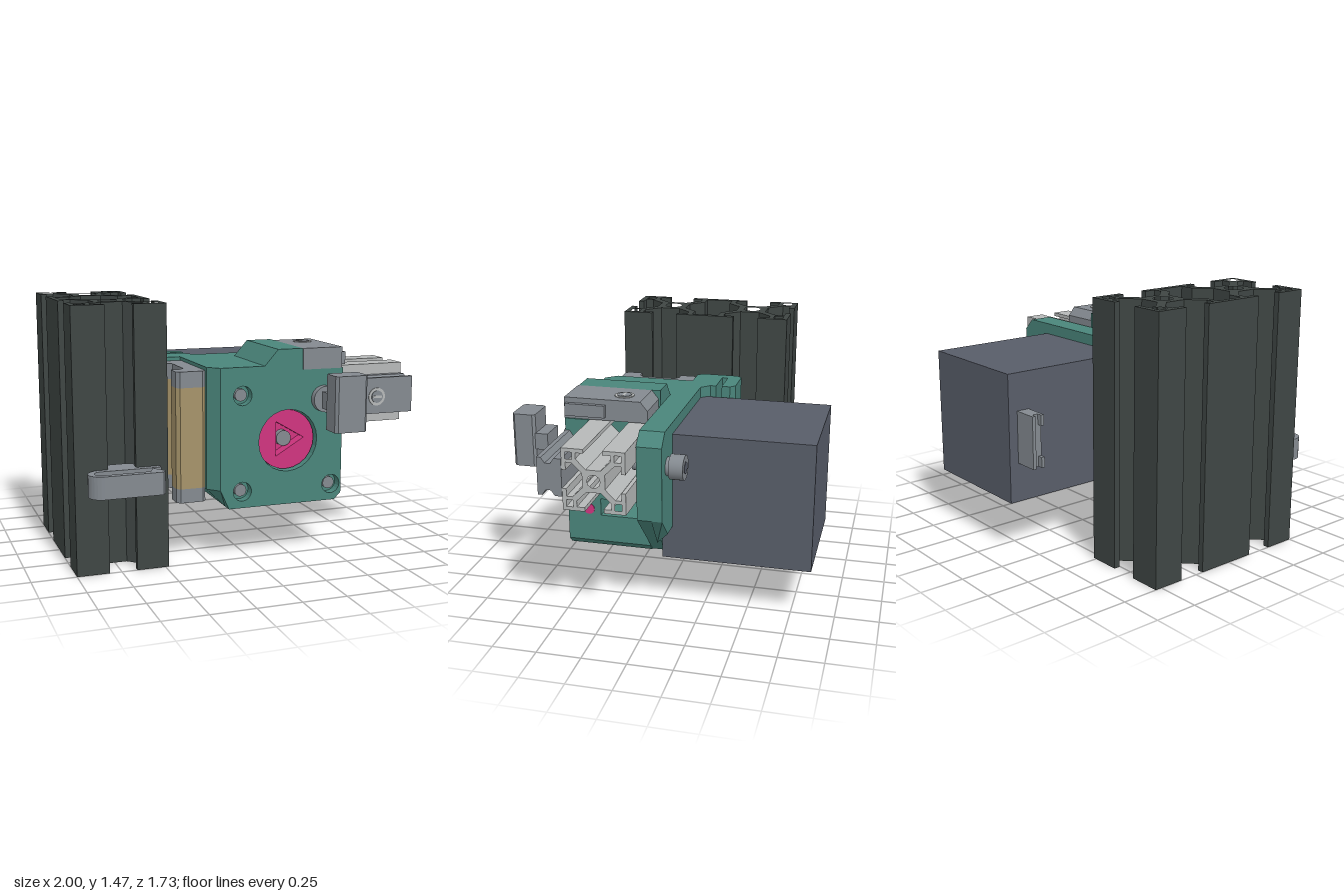
import * as THREE from 'three';

const mat = (name, color, side = THREE.FrontSide) => {
  const m = new THREE.MeshStandardMaterial({ color, side });
  m.name = name;
  return m;
};

export function createModel() {
  const root = new THREE.Group();
  const teal = mat('teal plastic', 0x4a857b), dark = mat('dark aluminium', 0x3f4644);
  const grey = mat('grey steel', 0x848a90), light = mat('light aluminium', 0xb6b9b9);
  const slate = mat('slate motor', 0x585d69), pink = mat('pink plastic', 0xd0347f);
  const gold = mat('gold brass', 0xc8981f), tan = mat('tan carriage', 0xa6946a);

  const add = (name, geo, m) => {
    const mesh = new THREE.Mesh(geo, m);
    mesh.name = name;
    root.add(mesh);
    return mesh;
  };
  const box = (name, m, x0, x1, y0, y1, z0, z1) =>
    add(name, new THREE.BoxGeometry(x1 - x0, y1 - y0, z1 - z0)
      .translate((x0 + x1) / 2, (y0 + y1) / 2, (z0 + z1) / 2), m);
  const circle = (cx, cy, r, n = 28) => Array.from({ length: n }, (_, i) =>
    [cx + r * Math.cos(i * 2 * Math.PI / n), cy + r * Math.sin(i * 2 * Math.PI / n)]);
  const arc = (cx, cy, r, a0, a1, n = 12) => Array.from({ length: n + 1 }, (_, i) => {
    const a = (a0 + (a1 - a0) * i / n) * Math.PI / 180;
    return [cx + r * Math.cos(a), cy + r * Math.sin(a)];
  });
  // Extrude an outline from a to b along z, x or y (outlines in xy, zy or xz)
  const extrude = (axis, pts, a, b, holes = []) => {
    const map = ([u, v]) => axis === 'x' ? new THREE.Vector2(-u, v)
      : axis === 'y' ? new THREE.Vector2(u, -v) : new THREE.Vector2(u, v);
    const shape = new THREE.Shape(pts.map(map));
    shape.holes = holes.map(h => new THREE.Path(h.map(map)));
    const geo = new THREE.ExtrudeGeometry(shape, { depth: b - a, bevelEnabled: false });
    geo.translate(0, 0, a);
    if (axis === 'x') geo.rotateY(Math.PI / 2);
    if (axis === 'y') geo.rotateX(-Math.PI / 2);
    return geo;
  };
  // Cylinder between two z values
  const rod = (name, m, x, y, r, z0, z1, n = 28) =>
    add(name, new THREE.CylinderGeometry(r, r, z1 - z0, n).rotateX(Math.PI / 2)
      .translate(x, y, (z0 + z1) / 2), m);

  // Slotted rail section: one or two square cells of half width h, centred on (cu, cv)
  const slot = [[-.3, 1], [-.3, .87], [-.55, .87], [-.55, .68], [-.23, .36],
    [.23, .36], [.55, .68], [.55, .87], [.3, .87], [.3, 1]];
  const railSection = (h, cells, cu, cv) => {
    const off = cells - 1;
    const place = ([u, v]) => [cu + u * h, cv + v * h];
    const sides = off ? [[-90, -1], [0, -1], [0, 1], [90, 1], [180, 1], [180, -1]]
      : [[-90, 0], [0, 0], [90, 0], [180, 0]];
    const outline = [], holes = [];
    sides.forEach(([deg, oy], i) => {
      const c = Math.round(Math.cos(deg * Math.PI / 180)), s = Math.round(Math.sin(deg * Math.PI / 180));
      const put = (u, v) => outline.push(place([c * v - s * u, s * v + c * u + oy]));
      slot.forEach(([u, v]) => put(u, v));
      if (sides[(i + 1) % sides.length][0] !== deg) put(1, 1);
    });
    for (const oy of off ? [-1, 1] : [0]) {
      holes.push(circle(0, oy, .21, 10).map(place));
      for (const sx of [-1, 1]) for (const sy of [-1, 1]) {
        if (off && sy !== oy) continue;
        holes.push([[.66, .66], [.88, .66], [.88, .88], [.66, .88]]
          .map(([u, v]) => place([sx * u, oy + sy * v])));
      }
    }
    if (off) holes.push([[.87, -.32], [.55, -.32], [.23, -.64], [-.23, -.64], [-.55, -.32], [-.87, -.32],
      [-.87, .32], [-.55, .32], [-.23, .64], [.23, .64], [.55, .32], [.87, .32]].map(place));
    return [outline, holes];
  };

  // Upright double rail and the small cross rail
  const [upO, upH] = railSection(.26, 2, -.74, -.02);
  add('uprightRail', extrude('y', upO, 0, 1.47, upH), dark);
  const [crO, crH] = railSection(.173, 1, .235, .9);
  add('crossRail', extrude('x', crO, .4, 1, crH), light);

  // Linear guide on the front of the cross rail
  const half = [[.41, .105], [.45, .105], [.47, .075], [.5, .075], [.52, .105], [.545, .105]];
  add('guideRail', extrude('x', [...half.map(([z, y]) => [z, .905 + y]),
    ...half.slice().reverse().map(([z, y]) => [z, .905 - y])], .5, 1), grey);
  rod('guideScrew', light, .77, .9, .052, .54, .55);
  rod('guideScrewSocket', grey, .77, .9, .036, .545, .554);
  box('guideScrewSlot', light, .74, .8, .893, .907, .55, .557);

  // Housing: layers from back to front, hollowed for the gear and cross rail
  const left = [[.3, 1.08], [.3, 1.2], [.15, 1.2], [.07, 1.11], [-.25, 1.11], [-.25, .42], [-.14, .31],
    [.51, .31], [.55, .35]];
  const full = [...left, [.55, 1.08]];
  const notch = [...left, [.55, .73], [.4, .73], [.4, 1.08]];
  const cavity = [...left, [.55, .51], [.13, .51], [.05, .6], [.05, .77], [.13, .85], [.4, .85], [.4, 1.08]];
  const gx = .215, gy = .68;
  const screws = [[-.06, .95], [-.06, .405], [.485, .405]];
  const bore = circle(gx, gy, .178, 24);
  const bores = [bore, ...screws.map(([x, y]) => circle(x, y, .055, 20))];
  add('housingRear', extrude('z', notch, .06, .13), teal);
  add('housingCore', extrude('z', cavity, .13, .35), teal);
  box('housingBridge', teal, .39, .55, .61, .73, .13, .35);
  add('housingInner', extrude('z', notch, .35, .41, [bore]), teal);
  add('housingFront', extrude('z', full, .41, .48, bores), teal);
  const face = extrude('z', full, .48, .545, bores);
  const p = face.attributes.position;
  for (let i = 0; i < p.count; i++)
    if (p.getZ(i) > .54 && p.getX(i) < -.2) p.setX(i, -.19);
  face.computeVertexNormals();
  add('housingFace', face, teal);
  screws.forEach(([x, y]) => {
    rod('screwSeat', teal, x, y, .055, .4, .49, 20);
    rod('housingScrew', grey, x, y, .035, .48, .515, 20);
  });

  // Mounting plate with a thinner foot, and the slotted side tab
  const top = [[.81, .62], [.81, 1.04], [.74, 1.11], [-.25, 1.11]];
  add('mountPlate', extrude('z', [[-.14, .31], [.5, .31], ...top, [-.25, .42]], -.02, .06), teal);
  const pad = extrude('z', [[-.25, .5], [.69, .5], ...top], -.08, -.02);
  const q = pad.attributes.position;
  for (let i = 0; i < q.count; i++)
    if (q.getZ(i) > -.03 && q.getY(i) < .55) q.setY(i, .44);
  pad.computeVertexNormals();
  add('mountPad', pad, teal);
  add('sideTab', extrude('y', [[-.42, -.25], [-.39, -.28], [-.2, -.28], [-.17, -.25], [-.17, -.2], [-.36, -.2],
    [-.36, -.165], [-.17, -.165], [-.17, -.13], [-.12, -.08], [-.12, 0], [-.39, 0], [-.42, -.03]], .45, 1.11), teal);
  rod('tabScrew', grey, -.23, .78, .03, -.285, -.27, 16);

  // Motor and its connector
  box('motor', slate, -.155, .58, .305, 1.045, -.865, -.02);
  box('connector', grey, -.27, -.15, .53, .83, -.81, -.735);
  box('connectorLip', grey, -.3, -.26, .53, .83, -.81, -.79);
  for (const y of [.53, .77]) box('connectorLip', grey, -.3, -.26, y, y + .06, -.755, -.735);

  // Drive wheel with a triangular recess, gear and shaft
  add('wheelFace', extrude('z', circle(gx, gy, .172, 24), .44, .51,
    [[[.155, .785], [.155, .585], [.325, .685]]]), pink);
  rod('wheelBack', pink, gx, gy, .172, .36, .44, 24);
  rod('wheelFlange', pink, gx, gy, .16, .14, .35, 24).scale.set(1, 1, 1);
  rod('gear', gold, gx + .05, gy - .01, .13, .15, .31, 20);
  rod('gearFlange', gold, gx + .05, gy - .01, .14, .18, .2, 20);
  rod('shaft', grey, gx, gy, .045, .3, .48, 20);

  // Pins in the right face of the housing
  for (const [z, m] of [[.42, pink], [.07, gold]])
    add('sidePin', new THREE.CylinderGeometry(.032, .032, .02, 20).rotateZ(Math.PI / 2)
      .translate(.544, .545, z), m);

  // Top clamp with screw and ribbed end
  add('topClamp', extrude('x', [[.55, 1.08], [.55, 1.2], [.11, 1.2], [.07, 1.15], [.07, 1.08]], .3, .54), grey);
  box('clampLatch', grey, .54, .565, 1.1, 1.17, .31, .54);
  const ring = (r, y, m, n = 24) => add('clampScrew',
    new THREE.CylinderGeometry(r, r, .008, n).translate(.435, y, .23), m);
  ring(.055, 1.2, light);
  ring(.04, 1.203, grey);
  box('clampScrewSlot', light, .4, .47, 1.203, 1.209, .224, .236);

  // Bolts through the front and back, and the loose thumb knob
  rod('frontBolt', grey, .43, .91, .075, .54, .585);
  rod('backBoltHead', grey, .69, .9, .07, -.18, -.1);
  rod('backBoltWasher', grey, .69, .9, .052, -.1, -.08);
  rod('backBoltTip', grey, .69, .9, .035, .05, .11, 16);
  rod('backBoltSocket', slate, .69, .9, .035, -.183, -.17, 6);
  const c = .015;
  add('knobHead', extrude('y', [[.355, .73 + c], [.355 + c, .73], [.545 - c, .73], [.545, .73 + c],
    [.545, .865 - c], [.545 - c, .865], [.355 + c, .865], [.355, .865 - c]], .77, 1.08), grey);
  box('knobStem', grey, .367, .535, .875, .97, .66, .735);

  // Guide carriage: tan block between grey end caps
  const carriage = [[-.4, .01], [-.27, .01], [-.25, .03], [-.25, .455], [-.27, .475], [-.4, .475], [-.42, .455],
    [-.42, .37], [-.37, .37], [-.34, .34], [-.34, .14], [-.37, .115], [-.42, .115], [-.42, .03]];
  add('carriageBlock', extrude('y', carriage, .43, 1), tan);
  for (const [a, b] of [[.35, .43], [1, 1.09]])
    add('carriageCap', extrude('y', carriage, a, b), grey);

  // Slot nuts and cable clip on the upright rail
  const nut = [[-.08, 0], [-.08, -.035], [-.125, -.04], [-.125, -.055], [-.06, -.11],
    [.06, -.11], [.125, -.055], [.125, -.04], [.08, -.035], [.08, 0]];
  add('frontNut', extrude('y', nut.map(([u, v]) => [-.74 + u, .505 + v]), .46, .585), grey);
  add('sideNut', extrude('y', nut.map(([u, v]) => [-.48 + v, .24 + u]), .6, .85), grey);
  add('cableClip', extrude('y', [[-.53, .505], ...arc(-.87, .58, .075, -90, -270), [-.55, .655], [-.53, .62],
    [-.58, .55], [-.61, .615], ...arc(-.87, .58, .04, 90, 270), [-.53, .54]], .46, .585), grey);

  return root;
}
